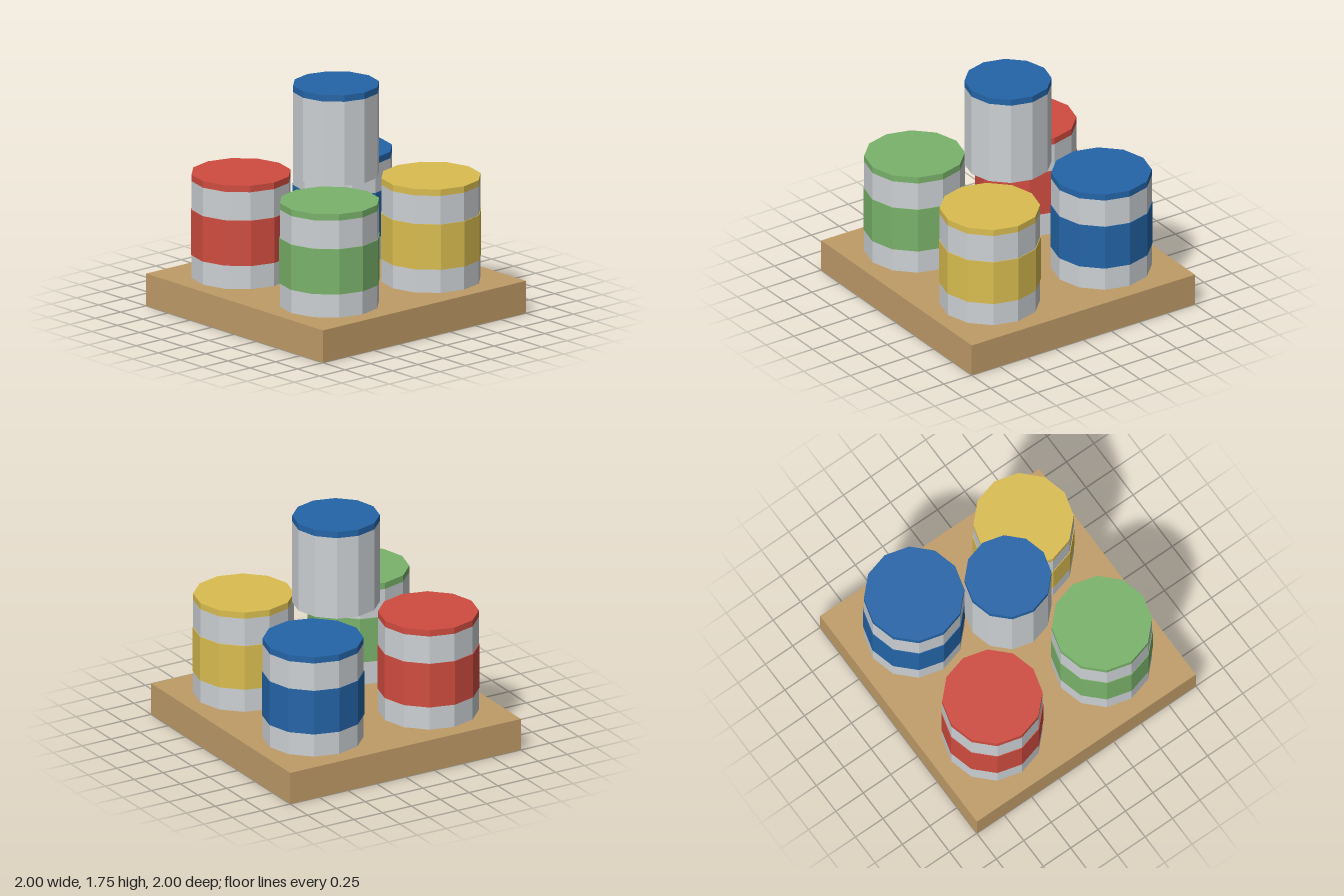
import * as THREE from 'three';

const SIDES = 12;

function material(name, color) {
  const m = new THREE.MeshStandardMaterial({ color, flatShading: true });
  m.name = name;
  return m;
}

export function createModel() {
  const wood = material('wood', 0xc09c68);
  const metal = material('metal', 0xcdd1d4);
  const red = material('red', 0xd04c40);
  const green = material('green', 0x7ab36b);
  const yellow = material('yellow', 0xdabd50);
  const blue = material('blue', 0x2465a8);

  const model = new THREE.Group();
  model.name = 'paintCans';

  // Twelve-sided drum between two heights
  function drum(parent, name, radius, bottom, top, mat) {
    const geometry = new THREE.CylinderGeometry(radius, radius, top - bottom, SIDES);
    const mesh = new THREE.Mesh(geometry, mat);
    mesh.name = name;
    mesh.position.y = (bottom + top) / 2;
    parent.add(mesh);
  }

  // Metal can with a painted lid and an optional label band
  function can(name, x, y, z, radius, height, paint, hasLabel) {
    const group = new THREE.Group();
    group.name = name;
    group.position.set(x, y, z);
    drum(group, 'body', radius, 0, height - 0.05, metal);
    drum(group, 'lid', radius, height - 0.05, height, paint);
    if (hasLabel) drum(group, 'label', radius + 0.005, 0.18, 0.53, paint);
    model.add(group);
  }

  // Square base board
  const base = new THREE.Mesh(new THREE.BoxGeometry(2, 0.25, 2), wood);
  base.name = 'base';
  base.position.y = 0.125;
  model.add(base);

  // Four labelled cans at the corners
  can('frontRightCan', -0.5, 0.25, 0.5, 0.375, 0.8, red, true);
  can('frontLeftCan', 0.5, 0.25, 0.5, 0.375, 0.8, green, true);
  can('backLeftCan', 0.5, 0.25, -0.5, 0.375, 0.8, yellow, true);
  can('backRightCan', -0.5, 0.25, -0.5, 0.375, 0.8, blue, true);

  // Plain can on top, in the middle
  can('topCan', 0, 1.05, 0, 0.325, 0.7, blue, false);

  return model;
}
